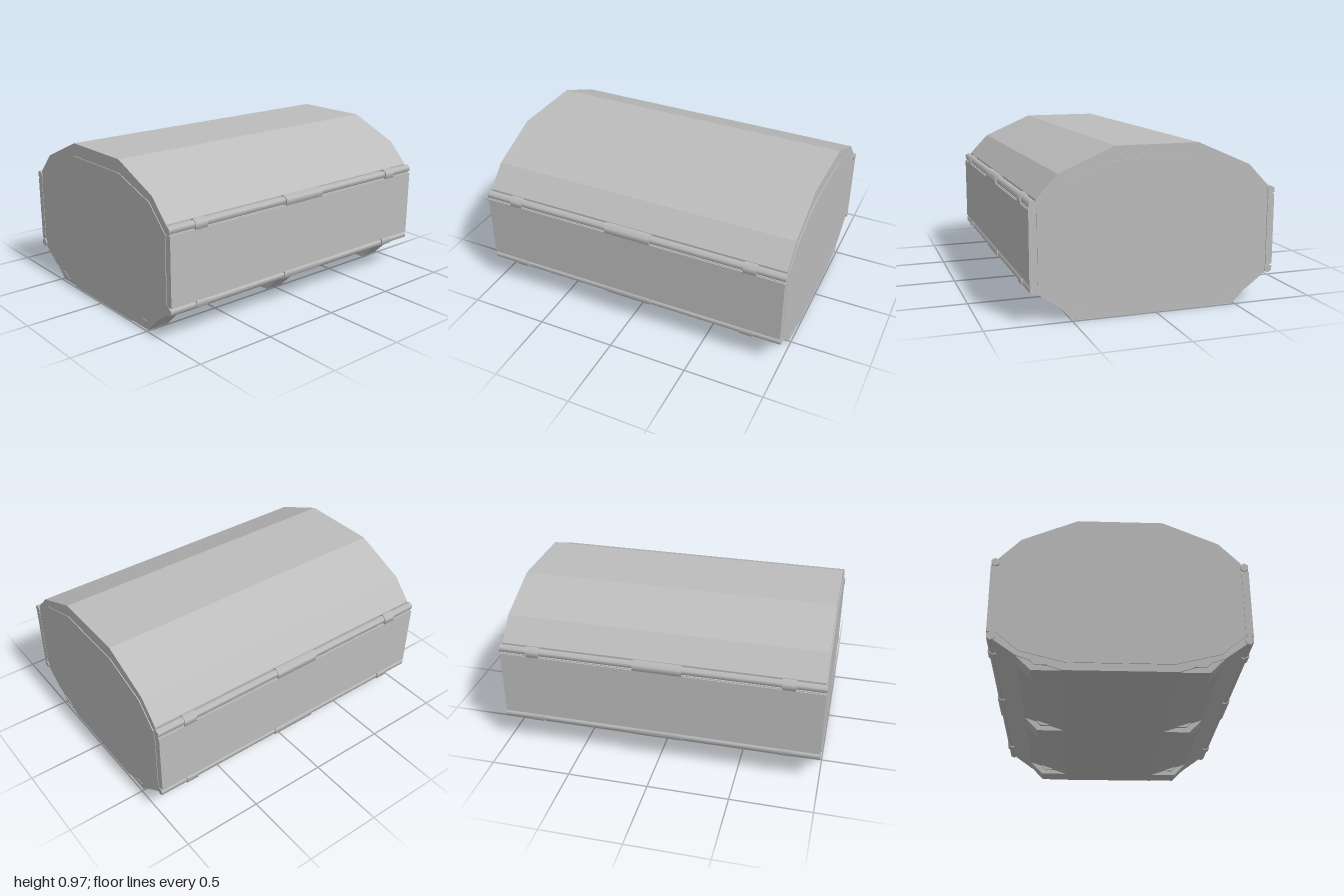
import * as THREE from 'three';

const grey = new THREE.MeshStandardMaterial({ color: 0xbcbcbc });
grey.name = 'plain grey';

// Solid extruded along z between z0 and z1 from a list of x, y corners
function prism(name, pts, z0, z1) {
  const shape = new THREE.Shape(pts.map(([x, y]) => new THREE.Vector2(x, y)));
  const geo = new THREE.ExtrudeGeometry(shape, { depth: z1 - z0, bevelEnabled: false });
  geo.translate(0, 0, z0);
  const mesh = new THREE.Mesh(geo, grey);
  mesh.name = name;
  return mesh;
}

// Close a right-hand half profile by mirroring it in x
const mirrored = (half) => [...half, ...half.map(([x, y]) => [-x, y]).reverse()];
const flip = (pts, s) => pts.map(([x, y]) => [x * s, y]);

// Six-sided bar along z
function bar(name, x, y, z, radius, length) {
  const geo = new THREE.CylinderGeometry(radius, radius, length, 6);
  geo.rotateX(Math.PI / 2);
  const mesh = new THREE.Mesh(geo, grey);
  mesh.name = name;
  mesh.position.set(x, y, z);
  return mesh;
}

export function createModel() {
  const model = new THREE.Group();
  model.name = 'cargoContainer';

  // Faceted body, notched at the corners where the rails sit
  const body = mirrored([
    [0.32, 0], [0.575, 0.085], [0.70, 0.175], [0.70, 0.22],
    [0.735, 0.22], [0.735, 0.65], [0.70, 0.65], [0.70, 0.70],
    [0.575, 0.83], [0.25, 0.97],
  ]);
  model.add(prism('body', body, -0.992, 0.992));

  // Slightly raised end panels
  const endPanel = mirrored([
    [0.30, 0.045], [0.56, 0.11], [0.695, 0.225], [0.695, 0.645],
    [0.55, 0.79], [0.25, 0.89],
  ]);
  model.add(prism('frontPanel', endPanel, 0.992, 0.997));
  model.add(prism('backPanel', endPanel, -0.997, -0.992));

  const foot = [[0.30, 0], [0.49, 0], [0.575, 0.085], [0.50, 0.10], [0.30, 0.03]];
  const gusset = [[0.40, 0.03], [0.47, 0.03], [0.50, 0.06], [0.45, 0.06]];

  for (const s of [1, -1]) {
    const side = s > 0 ? 'left' : 'right';

    // Flat side wall
    model.add(prism(side + 'Wall',
      flip([[0.70, 0.225], [0.742, 0.225], [0.742, 0.645], [0.70, 0.645]], s), -0.997, 0.997));

    // Upper and lower rails with their clamps
    for (const [level, y, clampY] of [['Upper', 0.672, 0.667], ['Lower', 0.198, 0.203]]) {
      model.add(bar(side + level + 'Rail', s * 0.717, y, 0, 0.026, 2));
      for (const [z, length] of [[-0.785, 0.08], [0, 0.3], [0.785, 0.08]]) {
        model.add(bar(side + level + 'Clamp', s * 0.714, clampY, z, 0.038, length));
      }
    }

    // Feet with small gussets standing out at their ends
    for (const [z0, z1] of [[-0.985, -0.845], [-0.065, 0.065], [0.845, 0.985]]) {
      model.add(prism(side + 'Foot', flip(foot, s), z0, z1));
      model.add(prism(side + 'FootGusset', flip(gusset, s),
        Math.max(z0 - 0.02, -0.995), Math.min(z1 + 0.02, 0.995)));
    }
  }
  return model;
}
